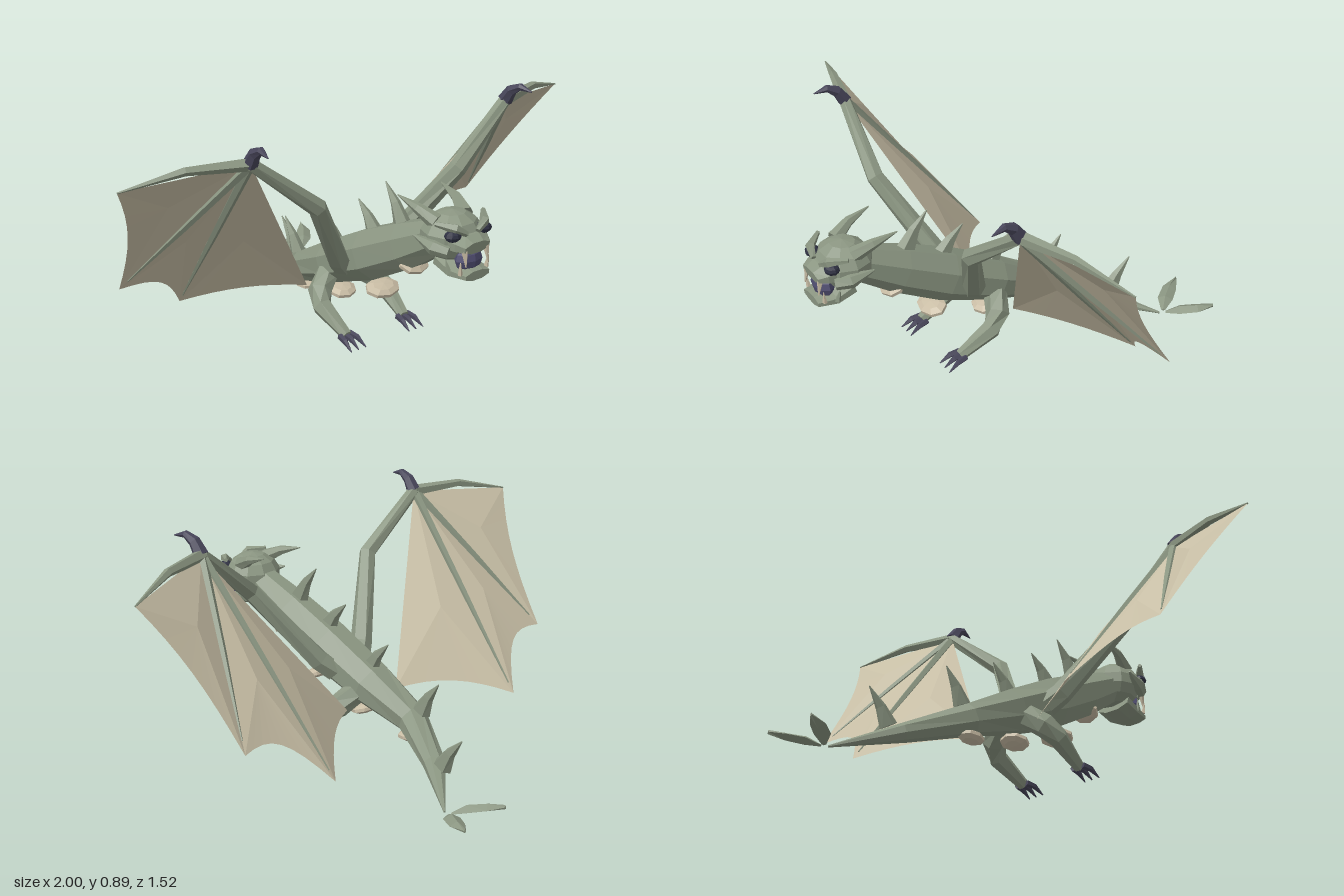
import * as THREE from 'three';

const material = (name, color) => Object.assign(new THREE.MeshStandardMaterial({ color }), { name });
const V = (p) => new THREE.Vector3(...p);

export function createModel() {
  const model = new THREE.Group();
  model.name = 'dragon';
  const green = material('scale green', 0x8b9682);
  const tan = material('belly tan', 0xc9bda5);
  const skin = material('wing skin', 0xc8bfa6);
  const dark = material('claw slate', 0x48465a);
  const eye = material('eye black', 0x2f3142);
  const mouth = material('mouth purple', 0x4f4d70);
  skin.side = THREE.DoubleSide;

  const add = (name, geometry, mat, parent = model) => {
    const flat = geometry.index ? geometry.toNonIndexed() : geometry;
    flat.computeVertexNormals();
    const mesh = new THREE.Mesh(flat, mat);
    mesh.name = name;
    parent.add(mesh);
    return mesh;
  };

  // Faceted limb: polygon rings across a path, radii given as r or [wide, high]
  const loft = (path, radii, sides = 6, turn = 0) => {
    const pts = path.map(V), pos = [], idx = [];
    const n = pts.length;
    pts.forEach((p, i) => {
      const t = pts[Math.min(i + 1, n - 1)].clone().sub(pts[Math.max(i - 1, 0)]).normalize();
      const s = new THREE.Vector3(0, 1, 0).cross(t).normalize();
      const u = t.clone().cross(s);
      const [rx, ry] = [radii[i]].flat().length > 1 ? radii[i] : [radii[i], radii[i]];
      for (let j = 0; j < sides; j++) {
        const a = ((j + turn) / sides) * Math.PI * 2;
        pos.push(...p.clone().addScaledVector(s, rx * Math.cos(a)).addScaledVector(u, ry * Math.sin(a)).toArray());
      }
    });
    for (let i = 0; i < n - 1; i++) for (let j = 0; j < sides; j++) {
      const k = (j + 1) % sides, a = i * sides, b = a + sides;
      idx.push(a + j, a + k, b + k, a + j, b + k, b + j);
    }
    for (let j = 1; j < sides - 1; j++) {
      const e = (n - 1) * sides;
      idx.push(0, j + 1, j, e, e + j, e + j + 1);
    }
    const g = new THREE.BufferGeometry();
    g.setAttribute('position', new THREE.Float32BufferAttribute(pos, 3));
    g.setIndex(idx);
    return g;
  };
  const blob = (c, r, tilt = 0, w = 10, h = 7) =>
    new THREE.SphereGeometry(1, w, h).scale(...r).rotateX(tilt).translate(...c);

  // Body, neck and tail in one run
  add('body', loft(
    [[0, 0.52, 0.58], [0, 0.43, 0.41], [0, 0.335, 0.22], [0, 0.235, 0], [0, 0.145, -0.2], [0.12, 0.07, -0.4], [0.3, 0.012, -0.59]],
    [0.065, [0.085, 0.09], [0.1, 0.1], [0.095, 0.085], [0.06, 0.06], [0.042, 0.035], 0.004], 8, 0.5), green);

  // Spikes down the spine: base, tip
  [[[0, 0.5, 0.37], [0, 0.63, 0.28]], [[0, 0.42, 0.22], [0, 0.52, 0.13]], [[0, 0.3, 0.01], [0, 0.41, -0.08]],
    [[0, 0.19, -0.24], [0, 0.315, -0.32]], [[0.145, 0.085, -0.455], [0.15, 0.21, -0.545]]].forEach(([a, b]) => {
    const mid = [(a[0] + b[0]) / 2, a[1] * 0.5 + b[1] * 0.5, a[2] * 0.6 + b[2] * 0.4];
    add('spineSpike', loft([a, mid, b], [[0.026, 0.04], [0.017, 0.022], 0.002], 5), green);
  });

  // Belly plates
  [[0.37, 0.435, 0.065, 0.6], [0.215, 0.27, 0.075, 0.35], [0.128, 0.035, 0.06, 0.3], [0.08, -0.19, 0.045, 0.15]]
    .forEach(([y, z, w, tilt]) => add('bellyPlate', blob([0, y, z], [w, 0.02, 0.052], tilt, 8, 5), tan));

  // Head, muzzle and open mouth
  const head = new THREE.Group();
  head.name = 'head';
  model.add(head);
  add('skull', blob([0, 0.54, 0.625], [0.112, 0.09, 0.105]), green, head);
  add('muzzle', loft([[0, 0.54, 0.66], [0, 0.535, 0.72], [0, 0.53, 0.752]],
    [[0.09, 0.045], [0.08, 0.036], [0.06, 0.022]], 8, 0.5), green, head);
  add('lowerJaw', loft([[0, 0.46, 0.62], [0, 0.435, 0.69], [0, 0.432, 0.757]],
    [[0.08, 0.035], [0.078, 0.028], [0.058, 0.018]], 8, 0.5), green, head);
  add('mouth', blob([0, 0.478, 0.71], [0.058, 0.045, 0.036], 0, 8, 6), mouth, head);

  const wingPoint = (s) => ({
    wrist: [s * 0.58, 0.82, 0.28], tip: [s, 0.775, 0.14], outer: [s * 0.835, 0.285, -0.175],
    inner: [s * 0.52, 0.11, -0.287], root: [s * 0.14, 0.17, 0],
  });
  const lerp = (a, b, t) => a.map((v, i) => v + (b[i] - v) * t);

  for (const s of [1, -1]) {
    const side = s > 0 ? 'left' : 'right';
    const m = (pts) => pts.map(([x, y, z]) => [s * x, y, z]);

    // Face details
    add(side + 'Eye', blob([s * 0.07, 0.572, 0.705], [0.03, 0.02, 0.028], 0, 8, 6), eye, head);
    add(side + 'Brow', loft(m([[0.025, 0.575, 0.725], [0.065, 0.6, 0.715], [0.11, 0.612, 0.66]]), [0.01, 0.018, 0.008], 5), green, head);
    add(side + 'Horn', loft(m([[0.065, 0.595, 0.62], [0.088, 0.63, 0.55], [0.1, 0.655, 0.46]]), [0.03, 0.019, 0.002], 6), green, head);
    add(side + 'Cheek', loft(m([[0.08, 0.515, 0.7], [0.105, 0.525, 0.65], [0.125, 0.55, 0.57]]), [0.022, 0.028, 0.003], 6), green, head);
    add(side + 'MouthCorner', loft(m([[0.068, 0.435, 0.69], [0.076, 0.485, 0.68], [0.068, 0.53, 0.69]]), [0.012, 0.015, 0.012], 5), green, head);
    add(side + 'UpperFang', loft(m([[0.048, 0.525, 0.742], [0.05, 0.47, 0.752]]), [0.012, 0.002], 5), tan, head);
    add(side + 'LowerFang', loft(m([[0.06, 0.44, 0.735], [0.064, 0.485, 0.74]]), [0.009, 0.002], 5), tan, head);

    // Wing bones
    const wing = new THREE.Group();
    wing.name = side + 'Wing';
    model.add(wing);
    const p = wingPoint(s);
    add('wingArm', loft([...m([[0.07, 0.28, 0.13], [0.12, 0.325, 0.16], [0.325, 0.615, 0.305]]), p.wrist],
      [0.045, 0.042, 0.034, 0.024], 6), green, wing);
    add('leadingFinger', loft([p.wrist, [s * 0.79, 0.823, 0.215], p.tip], [0.024, 0.016, 0.003], 5), green, wing);
    add('outerFinger', loft([p.wrist, lerp(p.wrist, p.outer, 0.5), lerp(p.wrist, p.outer, 0.93)], [0.019, 0.014, 0.003], 5), green, wing);
    add('innerFinger', loft([p.wrist, lerp(p.wrist, p.inner, 0.5), lerp(p.wrist, p.inner, 0.95)], [0.019, 0.014, 0.003], 5), green, wing);
    add('wristClaw', loft([p.wrist, [s * 0.582, 0.865, 0.31], [s * 0.587, 0.885, 0.35], [s * 0.595, 0.874, 0.4]],
      [0.028, 0.022, 0.014, 0.002], 6), dark, wing);

    // Wing skin: three fans with scalloped hems, slightly bulged
    const pos = [];
    [[p.tip, p.outer, 0.075], [p.outer, p.inner, 0.11], [p.inner, p.root, 0.05]].forEach(([a, b, sag]) => {
      const hem = [];
      for (let i = 0; i <= 8; i++) {
        const t = i / 8;
        hem.push(lerp(lerp(a, b, t), p.wrist, sag * 4 * t * (1 - t)));
      }
      const centre = lerp(lerp(a, b, 0.5), p.wrist, 0.4);
      centre[1] += 0.012;
      centre[2] -= 0.012;
      const rim = [p.wrist, ...hem];
      rim.forEach((q, i) => pos.push(...centre, ...q, ...rim[(i + 1) % rim.length]));
    });
    const g = new THREE.BufferGeometry();
    g.setAttribute('position', new THREE.Float32BufferAttribute(pos, 3));
    add('wingSkin', g, skin, wing);

    // Leg with three claws
    const leg = new THREE.Group();
    leg.name = side + 'Leg';
    model.add(leg);
    add('legBone', loft(m([[0.065, 0.21, 0.03], [0.125, 0.165, 0.06], [0.15, 0.125, 0.105], [0.138, 0.05, 0.235]]),
      [0.045, 0.045, 0.038, 0.022], 6), green, leg);
    for (const k of [-1, 0, 1]) {
      const x = 0.138 + k * 0.022;
      add('claw', loft(m([[x, 0.05, 0.225], [x + k * 0.007, 0.045, 0.262], [x + k * 0.012, 0.02, 0.305]]),
        [0.013, 0.011, 0.002], 5), dark, leg);
    }

    // Tail fin blade
    add(side + 'TailFin', loft(
      [[0.3 + s * 0.008, 0.01, -0.615], [0.3 + s * 0.045, 0.027, -0.655], [0.3 + s * 0.085, 0.036, -0.71], [0.3 + s * 0.113, 0.045, -0.765]],
      [[0.008, 0.004], [0.03, 0.016], [0.028, 0.014], [0.003, 0.008]], 4), green);
  }
  return model;
}
